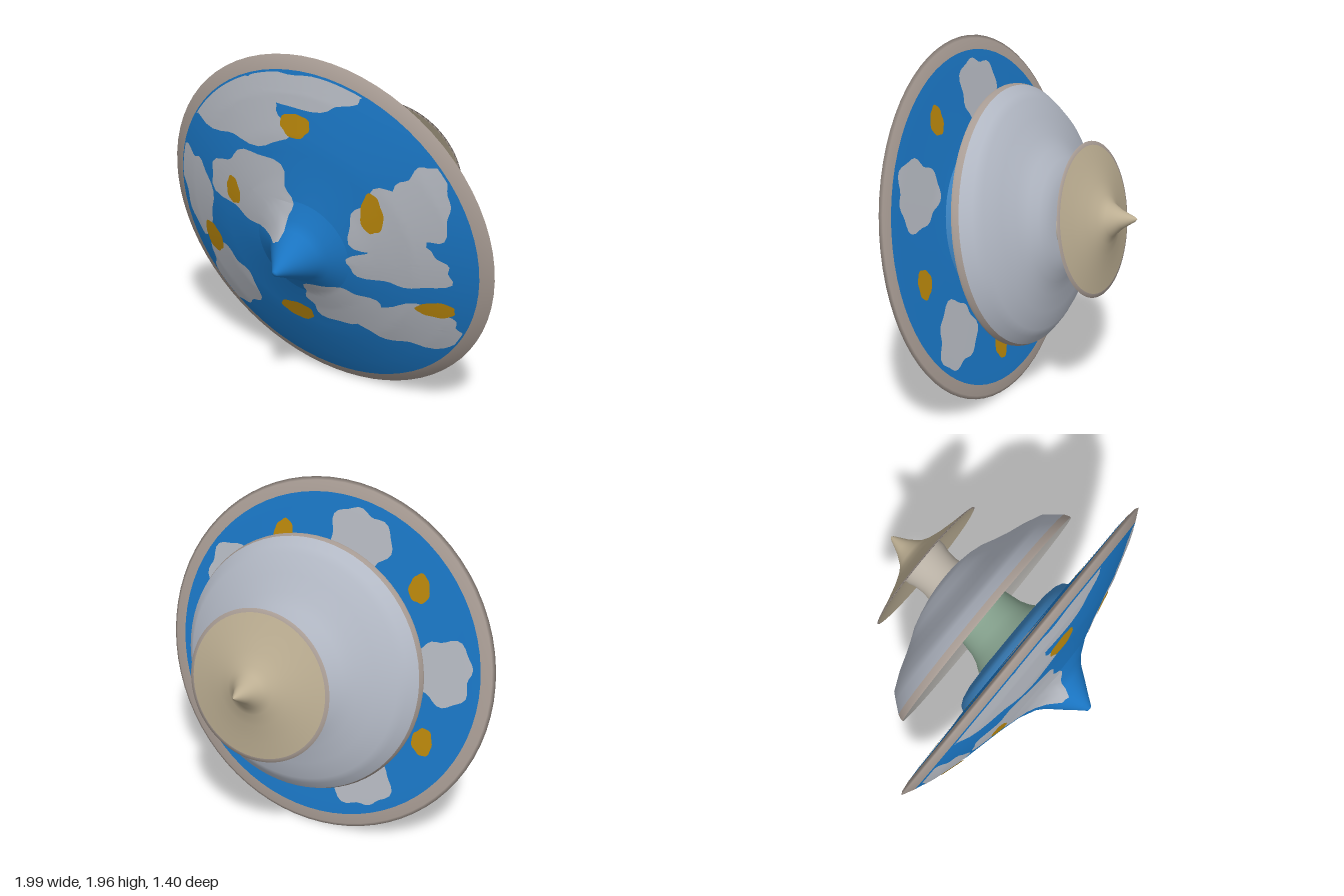
import * as THREE from 'three';

const BLUE = 0x1a76c4, CLOUD = 0xb4b8c0, GOLD = 0xb8860b, RIM = 0xa89c94;

// Profiles are [radius, distance along the axis], ordered from the tail (-) to the nose (+)
const FACE = [[0.93, 0.035], [0.82, 0.078], [0.62, 0.14], [0.53, 0.16], [0.4, 0.19], [0.28, 0.224]];
const CONE = [[0.28, 0.224], [0.19, 0.268], [0.15, 0.305], [0.1, 0.373], [0.05, 0.438], [0.015, 0.486], [0, 0.489]];
const BACK = [[0.44, -0.03], [0.55, -0.024], [0.85, -0.021], [0.92, -0.018]];

function lathe(name, profile, color) {
  const points = profile.map(([r, z]) => new THREE.Vector2(r, z));
  const geometry = new THREE.LatheGeometry(points, 72).rotateX(Math.PI / 2);
  const mesh = new THREE.Mesh(geometry, new THREE.MeshStandardMaterial({ color, side: THREE.DoubleSide }));
  mesh.name = name;
  return mesh;
}

// Height of a profile at a given radius
function heightAt(profile, r) {
  const p = [...profile].sort((a, b) => a[0] - b[0]);
  let i = 1;
  while (i < p.length - 1 && p[i][0] < r) i++;
  const [a, b] = [p[i - 1], p[i]];
  return a[1] + (b[1] - a[1]) * THREE.MathUtils.clamp((r - a[0]) / (b[0] - a[0]), 0, 1);
}

// Thin painted patch with a wavy outline that follows a disc surface
function patch(name, profile, x, y, w, h, color, wave, lift) {
  const geometry = new THREE.RingGeometry(0, 1, 40, 8);
  const pos = geometry.attributes.position;
  for (let i = 0; i < pos.count; i++) {
    const a = Math.atan2(pos.getY(i), pos.getX(i));
    const k = 1 + wave * (Math.sin(3 * a + 7 * x) + 0.6 * Math.sin(7 * a + 5 * y));
    const px = x + pos.getX(i) * w * k, py = y + pos.getY(i) * h * k;
    const r = Math.hypot(px, py), limit = Math.min(1, 0.92 / r);
    pos.setXYZ(i, px * limit, py * limit, heightAt(profile, r * limit) + lift);
  }
  geometry.computeVertexNormals();
  const mesh = new THREE.Mesh(geometry, new THREE.MeshStandardMaterial({ color, side: THREE.DoubleSide }));
  mesh.name = name;
  return mesh;
}

// Uneven dome: fuller towards its left and right, with the crown leaning up
function unevenDome(mesh) {
  const pos = mesh.geometry.attributes.position;
  const { smoothstep } = THREE.MathUtils;
  for (let i = 0; i < pos.count; i++) {
    const x = pos.getX(i), y = pos.getY(i), r = Math.hypot(x, y);
    if (r < 0.001) continue;
    const bulge = 0.028 * (x / r) ** 2 * smoothstep(r, 0.2, 0.45) * (1 - smoothstep(r, 0.6, 0.69));
    const lean = 0.12 * y * (1 - smoothstep(r, 0.15, 0.5));
    pos.setZ(i, pos.getZ(i) - bulge - lean);
  }
  return mesh;
}

function part(name, x, y, z, meshes) {
  const group = new THREE.Group();
  group.name = name;
  group.position.set(x, y, z);
  group.rotation.y = 0.045;
  group.add(...meshes);
  return group;
}

export function createModel() {
  const model = new THREE.Group();
  model.name = 'tieredSpinner';

  // Large front disc with its pointed nose
  const large = [
    lathe('largeDiscBack', BACK, BLUE),
    lathe('largeDiscRim', [[0.92, -0.018], [0.98, -0.01], [0.998, 0], [0.93, 0.035]], RIM),
    lathe('largeDiscFace', FACE, BLUE),
    lathe('noseCone', CONE, BLUE),
  ];
  const frontProfile = [...FACE, ...CONE.slice(1)];
  const clouds = [
    [-0.42, 0.68, 0.36, 0.17], [-0.3, 0.27, 0.3, 0.2], [0.02, 0.84, 0.34, 0.08],
    [0.5, 0.2, 0.2, 0.2], [0.68, 0.34, 0.14, 0.2], [0.55, -0.02, 0.26, 0.13], [0.17, -0.33, 0.22, 0.14],
    [0.55, -0.42, 0.28, 0.15], [-0.62, -0.42, 0.18, 0.22], [-0.78, 0.1, 0.13, 0.26],
  ];
  const golds = [
    [-0.01, 0.67, 0.09, 0.06], [0.42, 0.27, 0.06, 0.11], [-0.45, 0.22, 0.05, 0.08],
    [-0.7, -0.17, 0.07, 0.1], [-0.14, -0.47, 0.11, 0.06], [0.7, -0.28, 0.1, 0.05],
  ];
  for (const c of clouds) large.push(patch('frontCloud', frontProfile, ...c, CLOUD, 0.12, 0.003));
  for (const g of golds) large.push(patch('frontGoldMark', frontProfile, ...g, GOLD, 0.06, 0.006));

  // Clouds and gold marks around the back of the large disc
  for (let i = 0; i < 5; i++) {
    const a = i * Math.PI * 0.4 + 0.5, x = Math.cos(a) * 0.7, y = Math.sin(a) * 0.7;
    large.push(patch('backCloud', BACK, x, y, 0.18, 0.18, CLOUD, 0.1, -0.003));
    const gx = Math.cos(a + 0.6) * 0.72, gy = Math.sin(a + 0.6) * 0.72;
    large.push(patch('backGoldMark', BACK, gx, gy, 0.06, 0.08, GOLD, 0.06, -0.004));
  }

  // Raised plate and front neck
  large.push(lathe('raisedPlate', [[0.2, -0.094], [0.32, -0.088], [0.39, -0.075], [0.43, -0.055], [0.45, -0.02]], 0x3a80bc));
  model.add(part('largeDisc', 0, 0, 0, large));
  const frontNeck = lathe('frontNeck', [[0.18, -0.4], [0.18, -0.27], [0.185, -0.24], [0.195, -0.18], [0.215, -0.13], [0.245, -0.085]], 0x84a08c);
  frontNeck.position.set(0.01, -0.005, 0);
  model.add(frontNeck);

  // Middle domed disc, hollowed on its front side
  model.add(part('middleDisc', 0.004, 0.02, -0.245, [
    unevenDome(lathe('middleDiscDome', [[0, -0.292], [0.13, -0.291], [0.2, -0.287], [0.25, -0.275], [0.3, -0.256],
      [0.36, -0.22], [0.43, -0.185], [0.52, -0.153], [0.62, -0.11], [0.655, -0.083], [0.698, -0.038]], 0xb2b8c4)),
    lathe('middleDiscRim', [[0.698, -0.038], [0.708, -0.012], [0.708, 0]], RIM),
    lathe('middleDiscFront', [[0.708, 0], [0.66, -0.025], [0.5, -0.075], [0.3, -0.11], [0.15, -0.12]], 0xaaa8a4),
  ]));

  // Rear neck
  const rearNeck = lathe('rearNeck', [[0.145, -0.73], [0.143, -0.692], [0.133, -0.66], [0.128, -0.6], [0.134, -0.55], [0.143, -0.51]], 0xb8b0a4);
  rearNeck.position.set(0.015, -0.006, 0);
  model.add(rearNeck);

  // Small tail disc with its point, hollowed on its front side
  model.add(part('smallDisc', 0.005, 0, -0.687, [
    lathe('smallDiscBack', [[0, -0.25], [0.012, -0.238], [0.05, -0.163], [0.09, -0.108], [0.13, -0.083],
      [0.2, -0.056], [0.3, -0.028], [0.39, -0.007]], 0xbcae92),
    lathe('smallDiscRim', [[0.39, -0.007], [0.411, 0], [0.4, 0.002]], RIM),
    lathe('smallDiscFront', [[0.4, 0.002], [0.3, -0.015], [0.2, -0.03], [0.1, -0.045]], 0xb0a48c),
  ]));

  // Lean the whole stack so the nose dips
  model.rotation.x = 0.194;
  model.position.set(0, 0.985, 0.22);
  const root = new THREE.Group();
  root.name = 'spinnerStack';
  root.add(model);
  return root;
}
